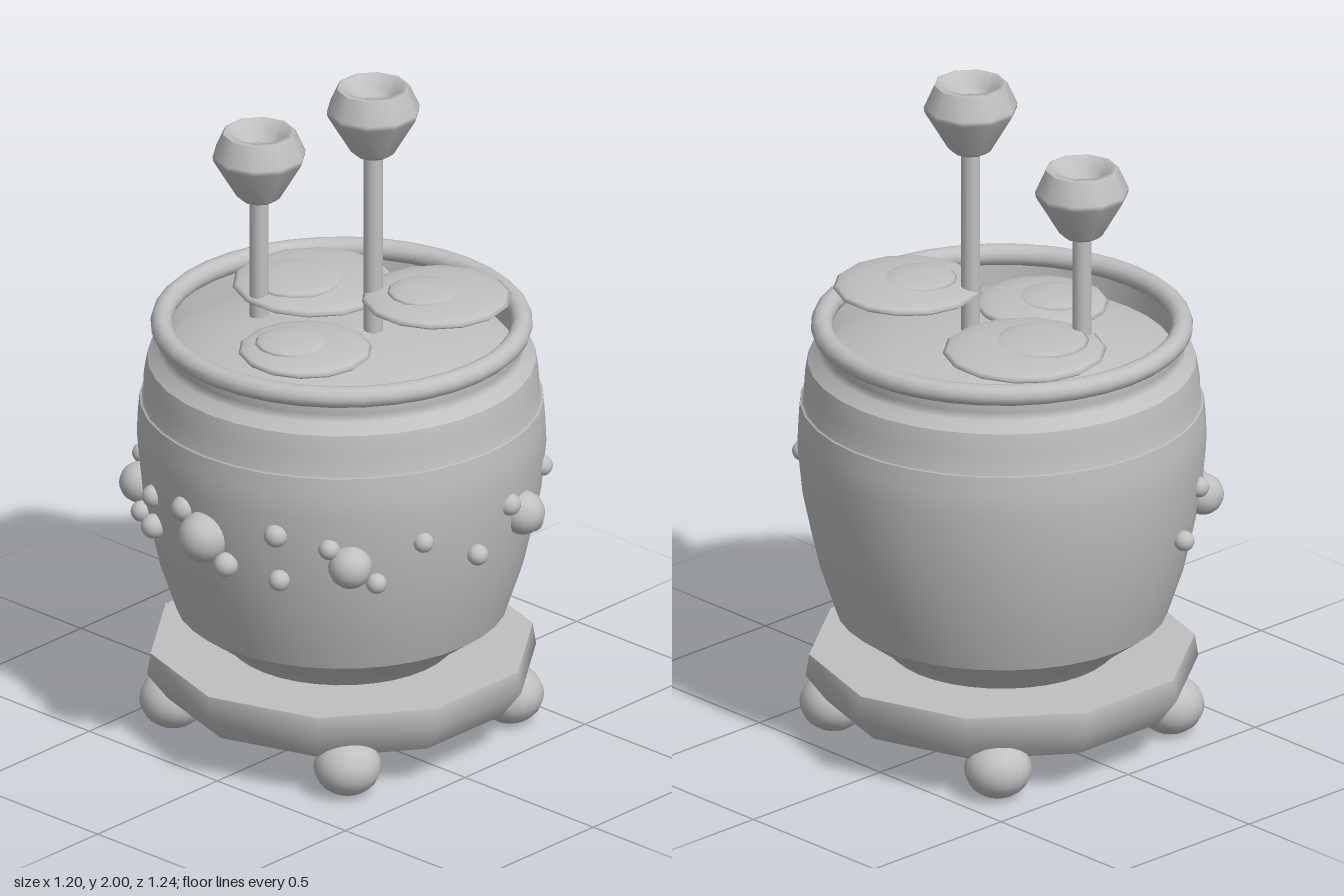
import * as THREE from 'three';

const CX = -0.015, CZ = -0.035; // axis of the pot
const stone = new THREE.MeshStandardMaterial({ color: 0xc0c0c0 });
stone.name = 'pale grey';

export function createModel() {
  const root = new THREE.Group();
  root.name = 'pottedPlant';

  const add = (name, geometry, x, y, z) => {
    const mesh = new THREE.Mesh(geometry, stone);
    mesh.name = name;
    mesh.position.set(x, y, z);
    root.add(mesh);
    return mesh;
  };

  // Lathe whose pieces are separate, so edges between pieces stay sharp
  const turned = (name, pieces, sides, x, y, z) => {
    for (const piece of pieces) {
      const points = piece.map(([r, h]) => new THREE.Vector2(r, h));
      add(name, new THREE.LatheGeometry(points, sides), x, y, z);
    }
  };

  const ellipsoid = (name, x, y, z, r, ry = r, w = 16, h = 12) => {
    const mesh = add(name, new THREE.SphereGeometry(r, w, h), x, y, z);
    mesh.scale.y = ry / r;
    return mesh;
  };

  // Ten-sided base plate on four ball feet
  turned('basePlate', [
    [[0, 0.12], [0.505, 0.12]],
    [[0.505, 0.12], [0.565, 0.2], [0.555, 0.265]],
    [[0.555, 0.265], [0, 0.265]],
  ], 10, CX, 0, CZ);
  for (const sx of [-1, 1]) {
    for (const sz of [-1, 1]) {
      ellipsoid('foot', CX + sx * 0.34, 0.085, CZ + sz * 0.34, 0.097, 0.085);
    }
  }

  // Barrel-shaped pot: foot, body, raised shoulder band, neck and inner wall
  turned('pot', [
    [[0.32, 0.26], [0.36, 0.3]],
    [[0.36, 0.3], [0.475, 0.385]],
    [[0.475, 0.385], [0.48, 0.4], [0.52, 0.52], [0.545, 0.63], [0.57, 0.75],
      [0.585, 0.9], [0.582, 0.97], [0.577, 1.025]],
    [[0.577, 1.025], [0.567, 1.027], [0.565, 1.09], [0.555, 1.15]],
    [[0.555, 1.15], [0.525, 1.18], [0.515, 1.2], [0.53, 1.23], [0.515, 1.26]],
    [[0.5, 1.26], [0.495, 1.15]],
  ], 36, CX, 0, CZ);
  add('rim', new THREE.TorusGeometry(0.515, 0.031, 12, 36).rotateX(Math.PI / 2), CX, 1.255, CZ);

  // Gently domed soil
  turned('soil', [[[0.5, 1.165], [0.42, 1.195], [0.3, 1.22], [0.15, 1.235], [0, 1.24]]], 36, CX, 0, CZ);

  // Beads round the belly: [degrees from the front, height, radius]
  const beads = [
    [0, 0.775, 0.075], [45.5, 0.75, 0.063], [-48, 0.75, 0.06], [107, 0.775, 0.064],
    [-26, 0.805, 0.033], [-26, 0.71, 0.036], [-8.5, 0.835, 0.037], [8, 0.71, 0.036],
    [24, 0.835, 0.035], [25, 0.695, 0.031], [39.5, 0.805, 0.031], [53, 0.695, 0.03],
    [-56, 0.805, 0.03], [-40, 0.695, 0.031], [-69, 0.69, 0.03], [67, 0.805, 0.03],
    [85.5, 0.72, 0.031], [99.5, 0.83, 0.033], [114, 0.72, 0.033], [128, 0.83, 0.03],
  ];
  for (const [deg, y, r] of beads) {
    const a = THREE.MathUtils.degToRad(deg);
    ellipsoid('bead', CX + 0.575 * Math.sin(a), y, CZ + 0.575 * Math.cos(a), r);
  }

  // Flat round leaves, each with a low raised centre
  const leaf = (x, y, z, r, cx, cz, cr) => {
    ellipsoid('leaf', x, y, z, r, 0.028, 14, 10);
    ellipsoid('leafCentre', cx, y + 0.022, cz, cr, 0.014, 14, 8);
  };
  leaf(-0.23, 1.275, -0.15, 0.235, -0.25, -0.1, 0.135);
  leaf(0.21, 1.352, -0.19, 0.215, 0.19, -0.16, 0.105);
  leaf(0.03, 1.25, 0.165, 0.192, 0, 0.19, 0.105);

  // Seed pods with a dimpled top on thin stems
  const pod = (x, z, top) => {
    const base = 1.18, length = top - 0.06 - base;
    add('stem', new THREE.CylinderGeometry(0.028, 0.028, length, 12), x, base + length / 2, z);
    turned('pod', [
      [[0, -0.215], [0.05, -0.212], [0.065, -0.2], [0.133, -0.085], [0.135, -0.07], [0.105, -0.004]],
      [[0.105, -0.004], [0.09, 0], [0.06, -0.035], [0.04, -0.06], [0, -0.06]],
    ], 10, x, top, z);
    ellipsoid('podTip', x, top - 0.06, z, 0.038, 0.02, 12, 8);
  };
  pod(-0.27, 0.037, 1.8);
  pod(0.057, -0.09, 2);

  return root;
}
